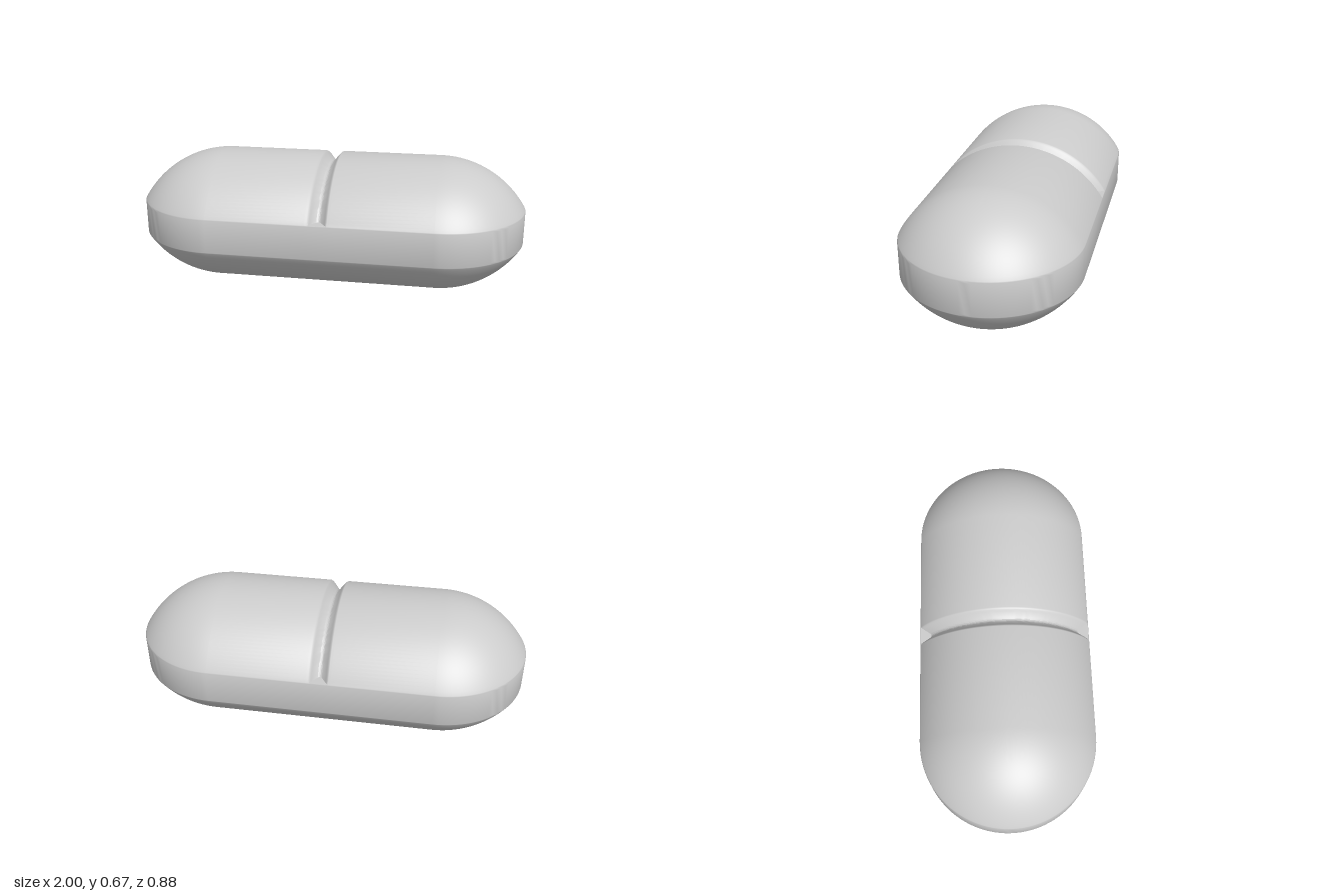
import * as THREE from 'three';
import { mergeGeometries, toCreasedNormals } from 'three/addons/utils/BufferGeometryUtils.js';

const HALF_STRAIGHT = 0.56; // half length of the straight middle
const DOME_R = 0.512;       // radius of the domed faces
const HEIGHT = 0.67;
const RIM = 0.437;          // where the dome meets the rounded rim
const CENTRE_Y = HEIGHT - DOME_R;
const RIM_DROP = Math.sqrt(DOME_R ** 2 - RIM ** 2);
const ARC_STEPS = 28;

// Half cross-section from bottom centre to top centre; depth sinks the upper dome.
function profile(depth) {
  const points = [];
  const arc = (r) => {
    const end = Math.acos(RIM_DROP / r);
    return Array.from({ length: ARC_STEPS + 1 }, (_, i) => {
      const a = end * i / ARC_STEPS;
      return new THREE.Vector2(r * Math.sin(a), CENTRE_Y + r * Math.cos(a));
    });
  };
  const rim = [[RIM, CENTRE_Y + RIM_DROP], [0.4394, 0.42], [0.44, 0.413]];
  for (const p of arc(DOME_R)) points.push(new THREE.Vector2(p.x, HEIGHT - p.y));
  for (const [r, y] of rim.slice(1)) points.push(new THREE.Vector2(r, HEIGHT - y));
  for (const [r, y] of rim.slice().reverse()) points.push(new THREE.Vector2(r, y));
  points.push(...arc(DOME_R - depth).reverse());
  return points;
}

// Straight middle: cross-sections along x, sunk where the score line runs.
function middleGeometry() {
  const half = [[0.003, 0.047], [0.01, 0.043], [0.034, 0.014], [0.039, 0.008],
    [0.044, 0.003], [0.05, 0], [0.06, 0], [HALF_STRAIGHT, 0]];
  const columns = [...half.map(([x, d]) => [-x, d]).reverse(), ...half];
  const positions = [];
  const index = [];
  let n = 0;
  for (const [x, depth] of columns) {
    const side = profile(depth);
    const ring = [...side.map((p) => [p.x, p.y]), ...side.map((p) => [-p.x, p.y]).reverse()];
    n = ring.length;
    for (const [z, y] of ring) positions.push(x, y, z);
  }
  for (let i = 0; i < columns.length - 1; i++) {
    for (let j = 0; j < n; j++) {
      const a = i * n + j, b = a + n;
      const d = i * n + (j + 1) % n, c = d + n;
      index.push(a, b, c, a, c, d);
    }
  }
  const geometry = new THREE.BufferGeometry();
  geometry.setAttribute('position', new THREE.Float32BufferAttribute(positions, 3));
  geometry.setIndex(index);
  return geometry;
}

// Rounded end: half a turn of the same profile.
function endGeometry(side) {
  const geometry = new THREE.LatheGeometry(profile(0), 48, side > 0 ? 0 : Math.PI, Math.PI);
  geometry.translate(side * HALF_STRAIGHT, 0, 0);
  geometry.deleteAttribute('uv');
  geometry.deleteAttribute('normal');
  return geometry;
}

export function createModel() {
  const group = new THREE.Group();
  group.name = 'tablet';
  const merged = mergeGeometries([middleGeometry(), endGeometry(1), endGeometry(-1)]);
  const body = new THREE.Mesh(
    toCreasedNormals(merged, 0.6),
    new THREE.MeshStandardMaterial({ color: 0xcccccc })
  );
  body.name = 'scoredTabletBody';
  group.add(body);
  return group;
}
